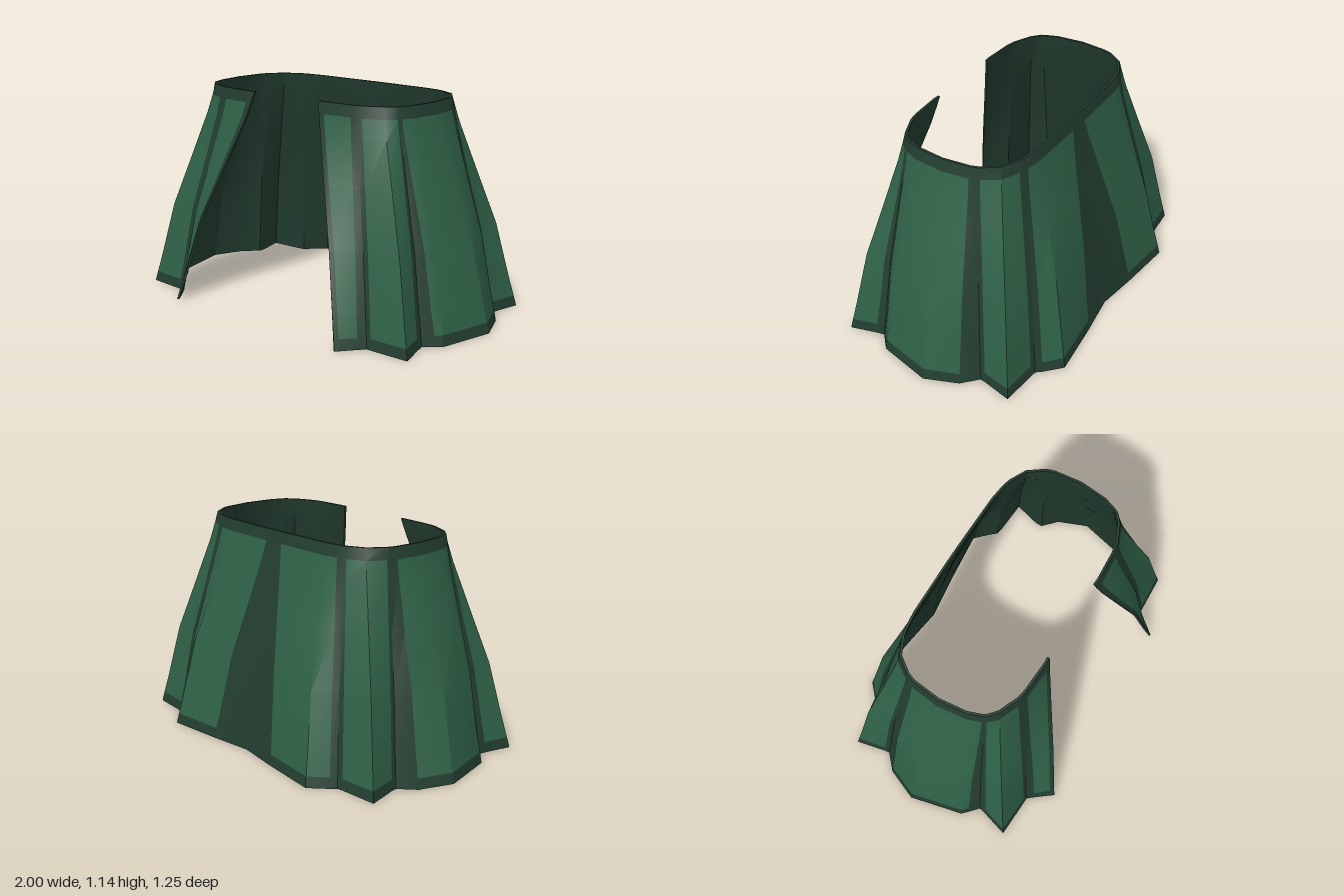
import * as THREE from 'three';
import { toCreasedNormals } from 'three/addons/utils/BufferGeometryUtils.js';

const THICKNESS = 0.013;

// Pleat columns of the +x half, front opening to centre back:
// [hem x, hem z, waist x, waist z, 1 if the strip up to the next column is trim]
const HALF = [
  [0.565, 0.625, 0.22, 0.345, 1],
  [0.58, 0.605, 0.255, 0.347, 0],
  [0.635, 0.535, 0.42, 0.338, 1],
  [0.665, 0.5, 0.45, 0.333, 1],
  [0.69, 0.5, 0.48, 0.326, 0],
  [0.9, 0.49, 0.58, 0.282, 0],
  [0.86, 0.35, 0.628, 0.24, 1],
  [0.85, 0.305, 0.632, 0.232, 1],
  [0.9, 0.26, 0.637, 0.224, 0],
  [0.93, 0.23, 0.664, 0.15, 0],
  [1.0, -0.06, 0.68, 0, 0],
  [0.93, -0.235, 0.664, -0.15, 1],
  [0.85, -0.31, 0.652, -0.185, 1],
  [0.853, -0.34, 0.647, -0.197, 0],
  [0.89, -0.5, 0.588, -0.278, 0],
  [0.69, -0.515, 0.5, -0.322, 1],
  [0.66, -0.52, 0.475, -0.329, 1],
  [0.635, -0.55, 0.45, -0.335, 0],
  [0.55, -0.63, 0.36, -0.345, 0],
  [0.24, -0.598, 0.05, -0.35, 1],
  [0, -0.565, 0, -0.35, 1],
];

// Rows from hem to waist: [height, flare from waist (0) to hem (1)]
const ROWS = [
  [0, 1], [0.055, 0.96], [0.16, 0.88], [0.46, 0.67],
  [0.75, 0.37], [0.99, 0.125], [1.085, 0.045], [1.145, 0],
];

function createModel() {
  const panelGreen = new THREE.MeshStandardMaterial({ color: 0x2f6147 });
  panelGreen.name = 'panelGreen';
  const trimGreen = new THREE.MeshStandardMaterial({ color: 0x233d30 });
  trimGreen.name = 'trimGreen';

  // Mirror the columns to go all the way round
  const columns = [...HALF, ...HALF.slice(0, -1).reverse().map(([a, b, c, d]) => [-a, b, -c, d])];
  const segments = columns.length - 1;
  const isTrim = (i) => HALF[Math.min(i, segments - 1 - i)][4] === 1;

  const outer = ROWS.map(([y, t]) => columns.map(([hx, hz, wx, wz]) =>
    new THREE.Vector3(wx + (hx - wx) * t, y, wz + (hz - wz) * t)));

  // Lining: each row moved inward along its horizontal normal
  const inner = outer.map((row) => row.map((p, i) => {
    const a = row[Math.max(i - 1, 0)];
    const b = row[Math.min(i + 1, segments)];
    const normal = new THREE.Vector3(a.z - b.z, 0, b.x - a.x).normalize();
    return p.clone().addScaledVector(normal, -THICKNESS);
  }));

  const quad = (list, a, b, c, d) => {
    for (const p of [a, b, c, a, c, d]) list.push(p.x, p.y, p.z);
  };
  const panels = [], trim = [], lining = [], edges = [];
  const last = ROWS.length - 1;

  for (let r = 0; r < last; r++) {
    for (let i = 0; i < segments; i++) {
      const banded = r === 0 || r === last - 1 || isTrim(i);
      quad(banded ? trim : panels, outer[r][i], outer[r][i + 1], outer[r + 1][i + 1], outer[r + 1][i]);
      quad(lining, inner[r][i + 1], inner[r][i], inner[r + 1][i], inner[r + 1][i + 1]);
    }
    // Edges of the front opening
    quad(edges, inner[r][0], outer[r][0], outer[r + 1][0], inner[r + 1][0]);
    quad(edges, outer[r][segments], inner[r][segments], inner[r + 1][segments], outer[r + 1][segments]);
  }
  // Hem and waist rims
  for (let i = 0; i < segments; i++) {
    quad(edges, inner[0][i], inner[0][i + 1], outer[0][i + 1], outer[0][i]);
    quad(edges, outer[last][i], outer[last][i + 1], inner[last][i + 1], inner[last][i]);
  }

  const group = new THREE.Group();
  group.name = 'pleatedSkirt';
  const addMesh = (name, positions, material, split = positions.length) => {
    const geometry = new THREE.BufferGeometry();
    geometry.setAttribute('position', new THREE.Float32BufferAttribute(positions, 3));
    if (Array.isArray(material)) {
      geometry.addGroup(0, split / 3, 0);
      geometry.addGroup(split / 3, (positions.length - split) / 3, 1);
    }
    const mesh = new THREE.Mesh(toCreasedNormals(geometry, 0.5), material);
    mesh.name = name;
    group.add(mesh);
  };
  addMesh('outerCloth', [...panels, ...trim], [panelGreen, trimGreen], panels.length);
  addMesh('lining', lining, trimGreen);
  addMesh('clothEdges', edges, trimGreen);
  return group;
}

export { createModel };
